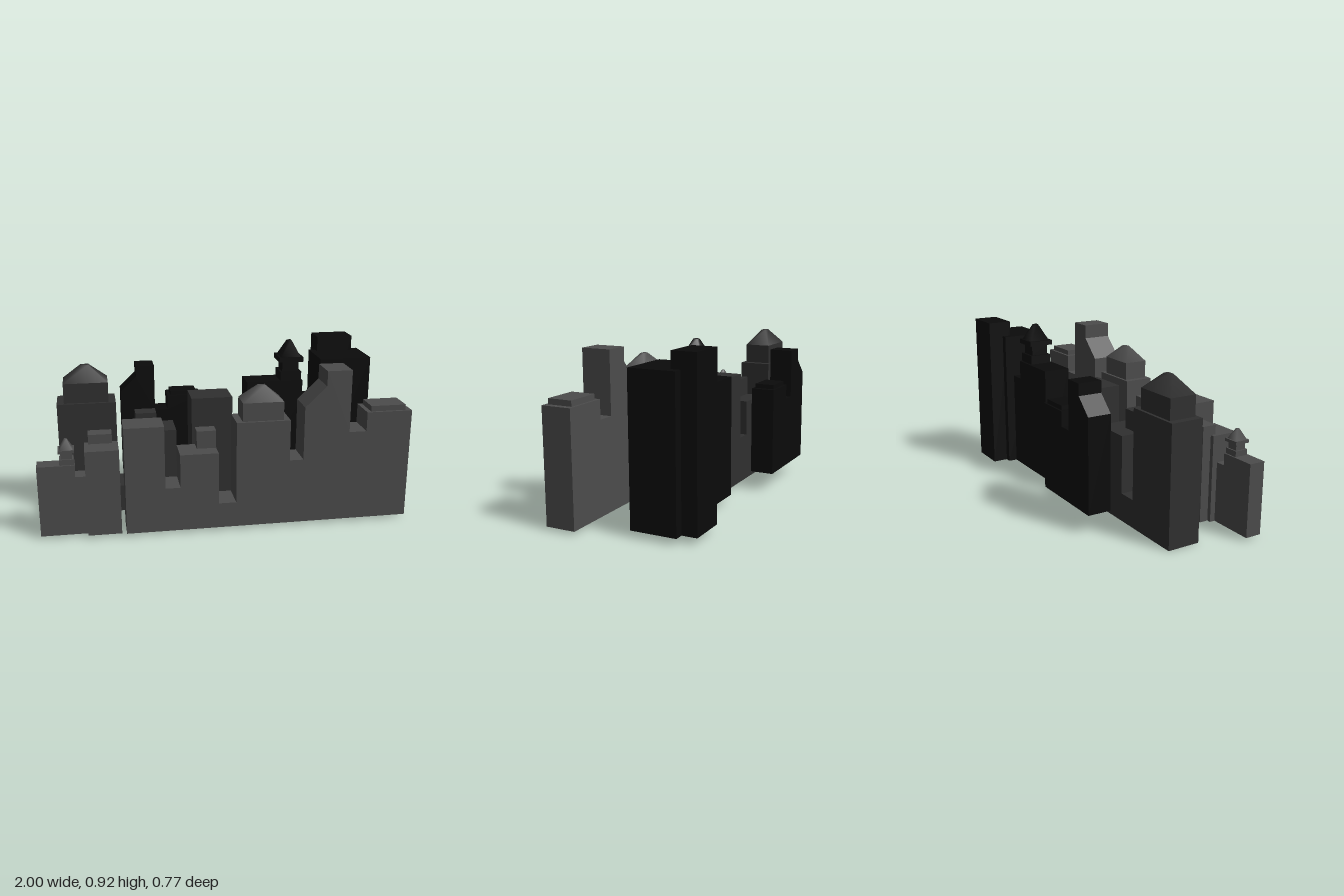
import * as THREE from 'three';

const DEPTH = 0.165;

// Box given by its min and max corners
function box(name, mat, x0, x1, y0, y1, z0, z1) {
  const g = new THREE.BoxGeometry(x1 - x0, y1 - y0, z1 - z0);
  g.translate((x0 + x1) / 2, (y0 + y1) / 2, (z0 + z1) / 2);
  const m = new THREE.Mesh(g, mat);
  m.name = name;
  return m;
}

// Skyline outline extruded along z, centred on z = 0
function slab(name, mat, points, depth) {
  const shape = new THREE.Shape(points.map(([x, y]) => new THREE.Vector2(x, y)));
  const g = new THREE.ExtrudeGeometry(shape, { depth, bevelEnabled: false });
  g.translate(0, 0, -depth / 2);
  const m = new THREE.Mesh(g, mat);
  m.name = name;
  return m;
}

// Four-sided roof with a small flat top and softly shaded slopes
function roof(name, mat, x, y0, y1, w, d, top) {
  const g = new THREE.CylinderGeometry(top * Math.SQRT1_2, Math.SQRT1_2, y1 - y0, 4);
  g.rotateY(Math.PI / 4);
  g.scale(w, 1, d);
  g.translate(x, (y0 + y1) / 2, 0);
  const m = new THREE.Mesh(g, mat);
  m.name = name;
  return m;
}

// Blocks with a hipped-roof tower at the right end
function hippedBlocks(mat) {
  const g = new THREE.Group();
  g.add(
    slab('steppedBlocks', mat, [
      [-0.44, 0], [0.44, 0], [0.44, 0.588], [0.15, 0.588], [0.15, 0.14], [0.055, 0.14],
      [0.055, 0.427], [-0.15, 0.427], [-0.15, 0.245], [-0.23, 0.245], [-0.23, 0.588], [-0.44, 0.588],
    ], DEPTH),
    box('roofHut', mat, -0.05, 0.055, 0.427, 0.524, -DEPTH / 2, -0.004),
    box('towerTop', mat, 0.185, 0.405, 0.588, 0.688, -0.068, 0.068),
    roof('towerRoof', mat, 0.295, 0.688, 0.768, 0.22, 0.136, 0.17),
  );
  return g;
}

// Blocks with a sloped shoulder, a high tower and a flat-topped end
function shoulderBlocks(mat) {
  const g = new THREE.Group();
  g.add(
    slab('shoulderedBlocks', mat, [
      [-0.2975, 0], [0.2975, 0], [0.2975, 0.61], [0.0475, 0.61], [0.0475, 0.505], [-0.0475, 0.505],
      [-0.0475, 0.846], [-0.1825, 0.846], [-0.1825, 0.765], [-0.2975, 0.655],
    ], DEPTH),
    box('roofPlinth', mat, 0.0725, 0.265, 0.61, 0.64, -0.068, 0.068),
  );
  return g;
}

// Low wing with a small spire beside a taller block and its rear tower
function spireBlocks(mat) {
  const g = new THREE.Group();
  const s = 0.155;
  const square = (name, r, y0, y1) => box(name, mat, s - r, s + r, y0, y1, -r, r);
  g.add(
    slab('lowWing', mat, [
      [0, 0], [0.25, 0], [0.25, 0.325], [0.195, 0.325], [0.195, 0.39], [0, 0.39],
    ], 0.09),
    box('tallBlock', mat, 0.248, 0.425, 0, 0.47, -0.075, 0.075),
    box('rearTower', mat, 0.27, 0.395, 0, 0.521, -0.125, -0.045),
    square('spireBase', 0.037, 0.39, 0.42),
    square('spireBody', 0.029, 0.42, 0.455),
    square('spireEave', 0.042, 0.455, 0.471),
    roof('spireRoof', mat, s, 0.471, 0.525, 0.068, 0.068, 0.2),
  );
  return g;
}

function place(group, name, x, y, z, scale = 1, turn = 0) {
  group.name = name;
  group.position.set(x, y, z);
  group.scale.setScalar(scale);
  group.rotation.y = turn;
  return group;
}

export function createModel() {
  const model = new THREE.Group();
  model.name = 'skyline';
  const material = (color) => new THREE.MeshStandardMaterial({ color });
  const near = material(0x4c4c4c);
  const middle = material(0x303030);
  const far = material(0x0b0b0b);

  model.add(
    // Front row
    place(hippedBlocks(near), 'frontHippedBlocks', -0.11, 0.017, 0.298),
    box('frontLink', near, 0.33, 0.405, 0.017, 0.38, 0.2155, 0.3805),
    place(shoulderBlocks(near), 'frontShoulderBlocks', 0.7025, 0.017, 0.298),
    place(spireBlocks(near), 'frontSpireBlocks', -1, 0.017, 0.295),
    // Middle row, turned to face backward
    place(hippedBlocks(middle), 'middleHippedBlocks', -0.405, 0, -0.055, 1.1, Math.PI),
    // Back row
    place(shoulderBlocks(far), 'backShoulderBlocks', -0.295, 0.105, -0.32, 0.79),
    place(spireBlocks(far), 'backSpireBlocks', 0.19, 0.035, -0.168, 1.68),
  );
  return model;
}
